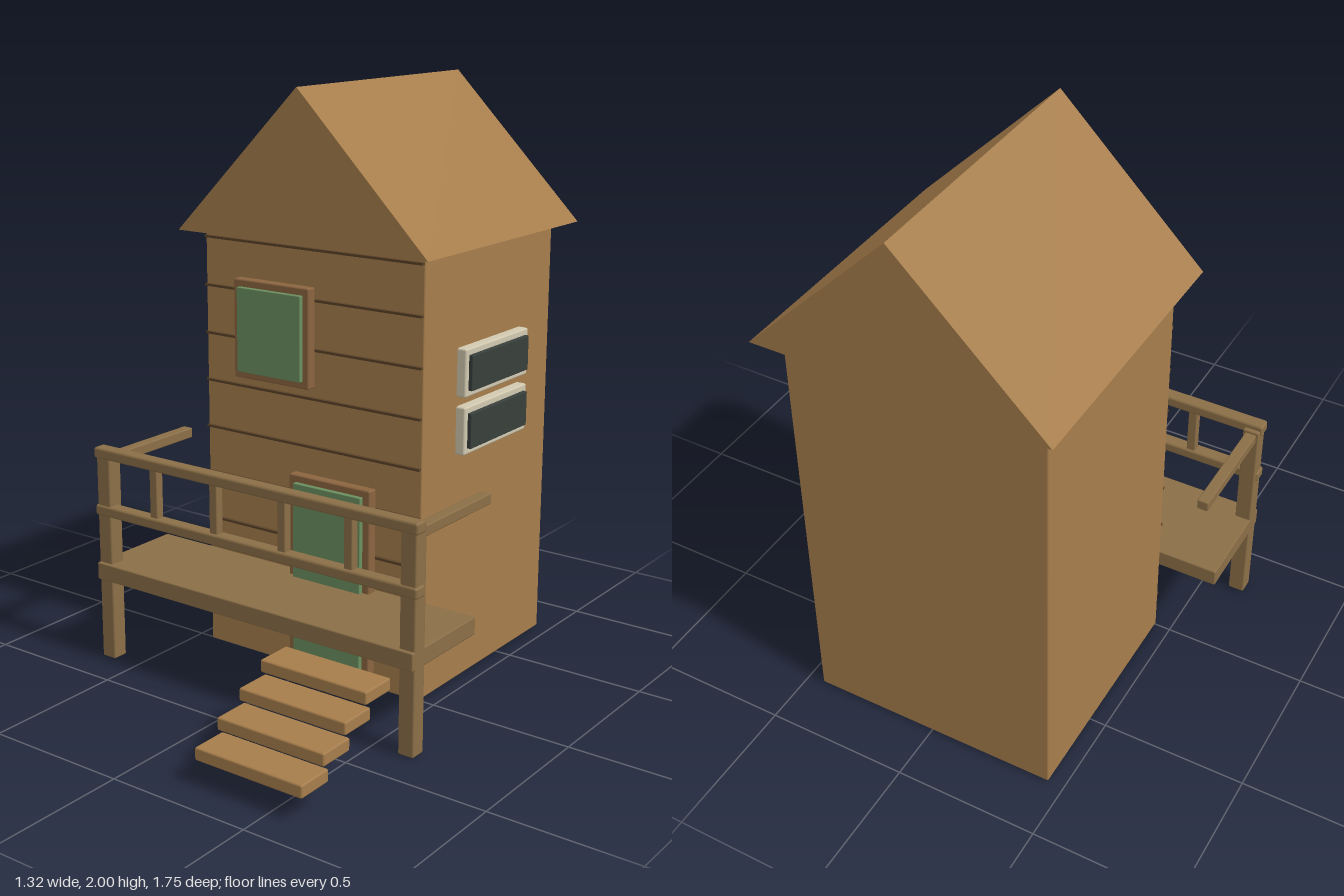
import * as THREE from 'three';
import { RoundedBoxGeometry } from 'three/addons/geometries/RoundedBoxGeometry.js';

const paint = (color) => new THREE.MeshStandardMaterial({ color });

export function createModel() {
  const model = new THREE.Group();
  const wood = paint(0xa67d4b);
  const deckWood = paint(0x8b6f47);
  const trim = paint(0x8b6540);
  const green = paint(0x6b9060);
  const cream = paint(0xd2c9b0);
  const glass = paint(0x38403c);
  const groove = paint(0x5a4228);

  // Bevelled box given by its extents on each axis
  function block(name, material, [x0, x1], [y0, y1], [z0, z1], bevel = 0.005, parent = model) {
    const size = [x1 - x0, y1 - y0, z1 - z0];
    const geometry = bevel > 0 ? new RoundedBoxGeometry(...size, 1, bevel) : new THREE.BoxGeometry(...size);
    const mesh = new THREE.Mesh(geometry, material);
    mesh.position.set((x0 + x1) / 2, (y0 + y1) / 2, (z0 + z1) / 2);
    mesh.name = name;
    parent.add(mesh);
    return mesh;
  }

  function group(name) {
    const g = new THREE.Group();
    g.name = name;
    model.add(g);
    return g;
  }

  // Tower body
  block('body', wood, [-0.443, 0.443], [0.003, 1.503], [-0.797, 0.008]);

  // Gabled roof
  const gable = new THREE.Shape([
    new THREE.Vector2(-0.5, 1.5), new THREE.Vector2(0.5, 1.5), new THREE.Vector2(0, 2),
  ]);
  const roof = new THREE.Mesh(new THREE.ExtrudeGeometry(gable, { depth: 0.96, bevelEnabled: false }), wood);
  roof.position.z = -0.877;
  roof.name = 'roof';
  model.add(roof);

  // Dark plank seams across the front wall
  const seams = group('plankSeams');
  for (let i = 0; i < 9; i++) {
    const y = 0.14 + i * 0.167;
    block('plankSeam', groove, [-0.44, 0.44], [y - 0.004, y + 0.004], [0.002, 0.02], 0, seams);
  }

  // Front window and door: trim board with a green panel
  const window = group('frontWindow');
  block('windowTrim', trim, [-0.285, 0.027], [1.015, 1.355], [0.018, 0.057], 0.006, window);
  block('windowPane', green, [-0.26, 0.004], [1.04, 1.33], [0.04, 0.073], 0.003, window);
  const door = group('door');
  block('doorTrim', trim, [-0.055, 0.275], [0.025, 0.715], [0.018, 0.057], 0.006, door);
  block('doorPanel', green, [-0.027, 0.248], [0.05, 0.69], [0.04, 0.073], 0.003, door);

  // Pair of slot windows on the left wall
  for (const y of [0.81, 1.006]) {
    const slot = group('sideWindow');
    block('sideWindowFrame', cream, [0.43, 0.477], [y, y + 0.164], [-0.595, -0.193], 0.007, slot);
    block('sideWindowGlass', glass, [0.46, 0.491], [y + 0.022, y + 0.142], [-0.576, -0.211], 0.003, slot);
  }

  // Deck, posts and side rails
  block('deck', deckWood, [-0.654, 0.654], [0.295, 0.357], [0.004, 0.37]);
  for (const s of [-1, 1]) {
    const span = (a, b) => (s > 0 ? [a, b] : [-b, -a]);
    block('deckPost', deckWood, span(0.596, 0.654), [0.003, 0.755], [0.3, 0.358], 0.006);
    block('sideRail', deckWood, span(0.605, 0.645), [0.708, 0.745], [-0.09, 0.32], 0.005);
  }

  // Front railing
  const railing = group('frontRailing');
  block('topRail', deckWood, [-0.661, 0.661], [0.733, 0.773], [0.314, 0.364], 0.009, railing);
  block('lowerRail', deckWood, [-0.661, 0.661], [0.528, 0.567], [0.314, 0.364], 0.009, railing);
  for (const x of [-0.4, -0.14, 0.14, 0.4]) {
    block('baluster', deckWood, [x - 0.016, x + 0.016], [0.55, 0.745], [0.322, 0.354], 0.004, railing);
  }

  // Floating stair treads
  const stairs = group('stairs');
  for (let i = 0; i < 4; i++) {
    const y = 0.248 - i * 0.056, z = 0.428 + i * 0.106;
    block('stairTread', wood, [0.215, 0.615], [y, y + 0.043], [z, z + 0.131], 0.006, stairs);
  }
  return model;
}
